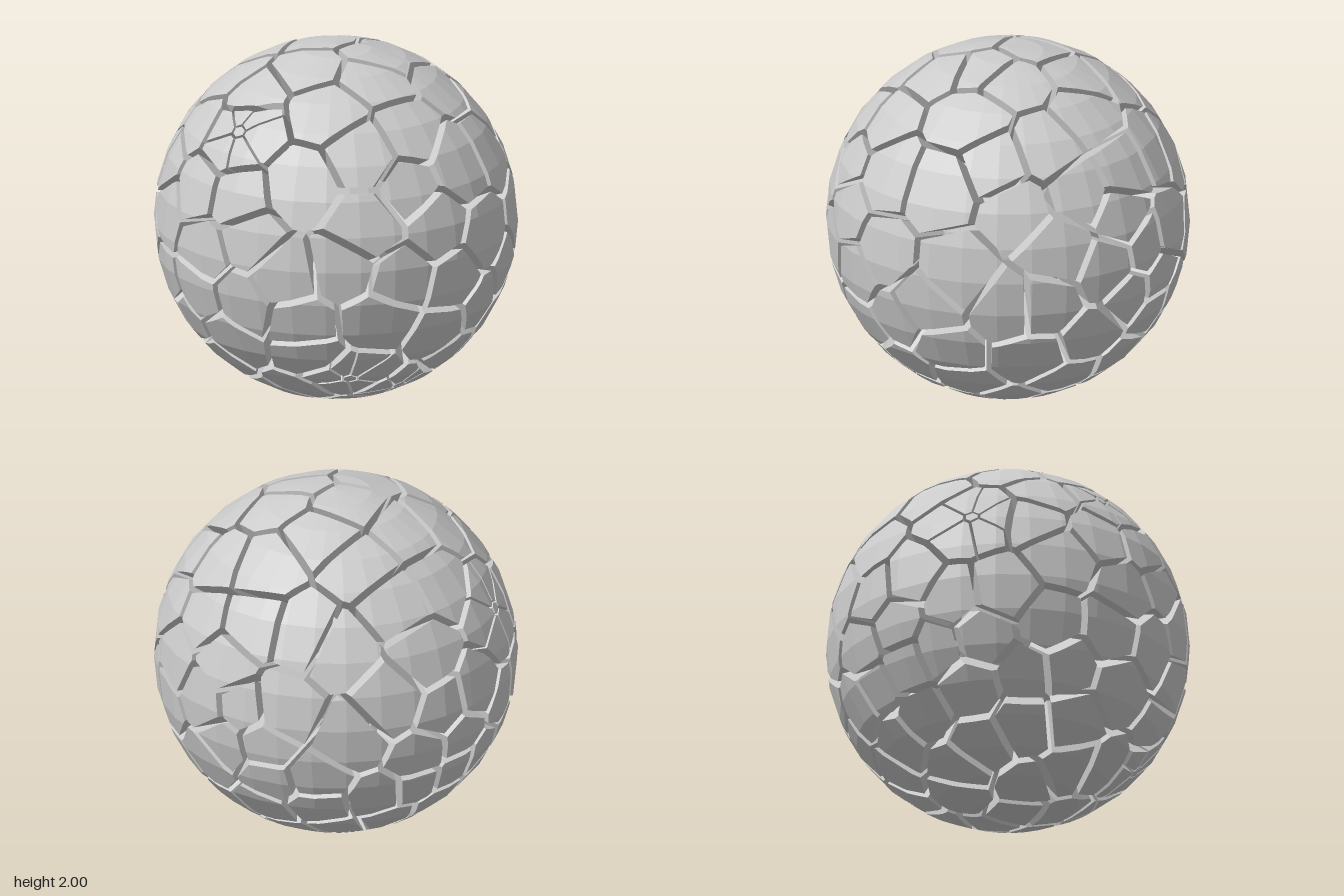
import * as THREE from 'three';

const V = (x, y, z) => new THREE.Vector3(x, y, z);
const UNIT = 187;       // chart units per ball radius
const HALF_GAP = 0.019;
const DEPTH = 0.6;      // inner radius of the shards
const CLEARANCE = 0.31; // room kept around each large shard

// Centres of the large shards as [across, up] pairs on a disc facing each axis
const front = [-31, 67, -88, 65, 37, 87, -12, 28, 28, -8, -70, 2, 90, 5, 42, -62, -24, -45, -78, -47, 45, -104, 107, 45, -48, -93];
const side = [-38, 90, 34, 90, 66, 10, -24, 12, -66, -25, -66, -85, 39, -90, 114, -30];
const top = [-24, 19, -89, 9, -24, 69, 46, 39, 46, 4, -49, -96, -4, -56, 61, -41, 16, 119];
const back = [-1, 77, -39, -9, 52, -25, 26, 34, -71, 13, -92, 77, -33, -99];
const under = [-73, 83, 13, 67, 5, -3, -70, 0, 67, 13, -62, -62, 29, 120, 45, -52];

// Spots where the crust has crumbled into small pieces
const crumbled = [V(-0.25, 0.67, 0.7), V(0.38, -0.7, 0.6), V(0.51, -0.82, 0.25), V(-0.88, 0.4, 0.22)];

// Across and up directions on the disc facing n
function frame(n) {
  const up = Math.abs(n.y) > 0.99 ? V(0, 0, -1) : V(0, 1, 0);
  const u = up.cross(n).normalize();
  return [u, n.clone().cross(u)];
}

function shardCentres() {
  const seeds = [];
  const clear = (p, d) => seeds.every((s) => s.distanceTo(p) > d);
  for (const c of crumbled) {
    const n = c.clone().normalize(), [u, v] = frame(n);
    seeds.push(n);
    for (let i = 0; i < 6; i++) {
      const a = (i * Math.PI) / 3, r = 0.075 + 0.02 * Math.sin(i * 5);
      seeds.push(n.clone().addScaledVector(u, r * Math.cos(a)).addScaledVector(v, r * Math.sin(a)).normalize());
    }
  }
  const firstLarge = seeds.length;
  const addChart = (axis, pts) => {
    const n = axis.normalize(), [u, v] = frame(n);
    for (let i = 0; i < pts.length; i += 2) {
      const x = pts[i] / UNIT, y = pts[i + 1] / UNIT;
      const p = n.clone().multiplyScalar(Math.sqrt(1 - x * x - y * y)).addScaledVector(u, x).addScaledVector(v, y);
      if (clear(p, 0.16)) seeds.push(p);
    }
  };
  addChart(V(0, 0, 1), front);
  addChart(V(1, 0, 0), side);
  addChart(V(0, 1, 0), top);
  addChart(V(-1, 0.816, -1), back);
  addChart(V(1, -0.816, -1), under);
  const large = seeds.slice(firstLarge);

  // Smaller shards scattered over the rest, finer towards the bottom
  const count = 2000;
  for (let i = 0; i < count; i++) {
    const k = (i * 617) % count;
    const y = 1 - (2 * k + 1) / count, r = Math.sqrt(1 - y * y), a = k * 2.39996;
    const p = V(r * Math.cos(a), y, r * Math.sin(a));
    if (clear(p, 0.25 + 0.03 * y) && large.every((s) => s.distanceTo(p) > CLEARANCE)) seeds.push(p);
  }
  return seeds;
}

// Faceted ball as a list of polygons
function ballFaces(segments, rings) {
  const at = (i, j) => {
    const t = (i / rings) * Math.PI, a = (j / segments) * Math.PI * 2;
    return V(Math.sin(t) * Math.sin(a), Math.cos(t), Math.sin(t) * Math.cos(a));
  };
  const faces = [];
  for (let i = 0; i < rings; i++) for (let j = 0; j < segments; j++) {
    const quad = [at(i, j), at(i + 1, j), at(i + 1, j + 1), at(i, j + 1)];
    faces.push(quad.filter((p, k) => p.distanceTo(quad[(k + 1) % 4]) > 1e-6));
  }
  return faces;
}

// Cut a convex solid, keep the side where n.p <= d and close the cut
function cutSolid(faces, n, d) {
  const kept = [], rim = [];
  for (const face of faces) {
    const h = face.map((p) => n.dot(p) - d);
    if (h.every((x) => x <= 0)) { kept.push(face); continue; }
    if (h.every((x) => x > 0)) continue;
    const out = [];
    face.forEach((p, i) => {
      const j = (i + 1) % face.length;
      if (h[i] <= 0) out.push(p);
      if ((h[i] <= 0) !== (h[j] <= 0)) {
        const q = p.clone().lerp(face[j], h[i] / (h[i] - h[j]));
        out.push(q);
        if (rim.every((r) => r.distanceTo(q) > 1e-6)) rim.push(q);
      }
    });
    if (out.length > 2) kept.push(out);
  }
  if (rim.length > 2) {
    const c = rim.reduce((s, p) => s.add(p), V(0, 0, 0)).divideScalar(rim.length);
    const [u, v] = frame(n);
    const angle = (p) => Math.atan2(p.clone().sub(c).dot(v), p.clone().sub(c).dot(u));
    kept.push(rim.sort((a, b) => angle(a) - angle(b)));
  }
  return kept;
}

function solidGeometry(faces) {
  const pos = [];
  for (const f of faces) for (let i = 1; i < f.length - 1; i++) {
    for (const p of [f[0], f[i], f[i + 1]]) pos.push(p.x, p.y, p.z);
  }
  const g = new THREE.BufferGeometry();
  g.setAttribute('position', new THREE.Float32BufferAttribute(pos, 3));
  g.computeVertexNormals();
  return g;
}

export function createModel() {
  const group = new THREE.Group();
  group.name = 'crackedBall';
  const material = new THREE.MeshStandardMaterial({ color: 0xcccccc, flatShading: true });
  const add = (name, geometry) => {
    const mesh = new THREE.Mesh(geometry, material);
    mesh.name = name;
    mesh.position.y = 1;
    group.add(mesh);
  };
  const ball = ballFaces(32, 16);
  const seeds = shardCentres();
  // Uneven depth tilts the crack walls
  const lift = seeds.map((s, i) => 0.93 + 0.05 * Math.sin(i * 12.9898 + 1));

  // Shards, each cut from the ball by tilted planes towards its neighbours
  seeds.forEach((a, i) => {
    let faces = cutSolid(ball, a.clone().negate(), -DEPTH);
    const near = seeds.map((s, j) => j).filter((j) => j !== i)
      .sort((p, q) => a.distanceTo(seeds[p]) - a.distanceTo(seeds[q])).slice(0, 28);
    for (const j of near) {
      const b = seeds[j], dist = a.distanceTo(b);
      const [out, back] = dist < 0.2 ? [1, 1] : [lift[j], lift[i]];
      const n = b.clone().multiplyScalar(out).addScaledVector(a, -back).normalize();
      const mid = a.clone().add(b).normalize();
      faces = cutSolid(faces, n, n.dot(mid) - Math.min(HALF_GAP, dist * 0.1));
    }
    if (faces.length > 3) add('shard', solidGeometry(faces));
  });

  // Core seen at the bottom of the cracks
  add('core', new THREE.SphereGeometry(DEPTH + 0.03, 32, 16));
  return group;
}
